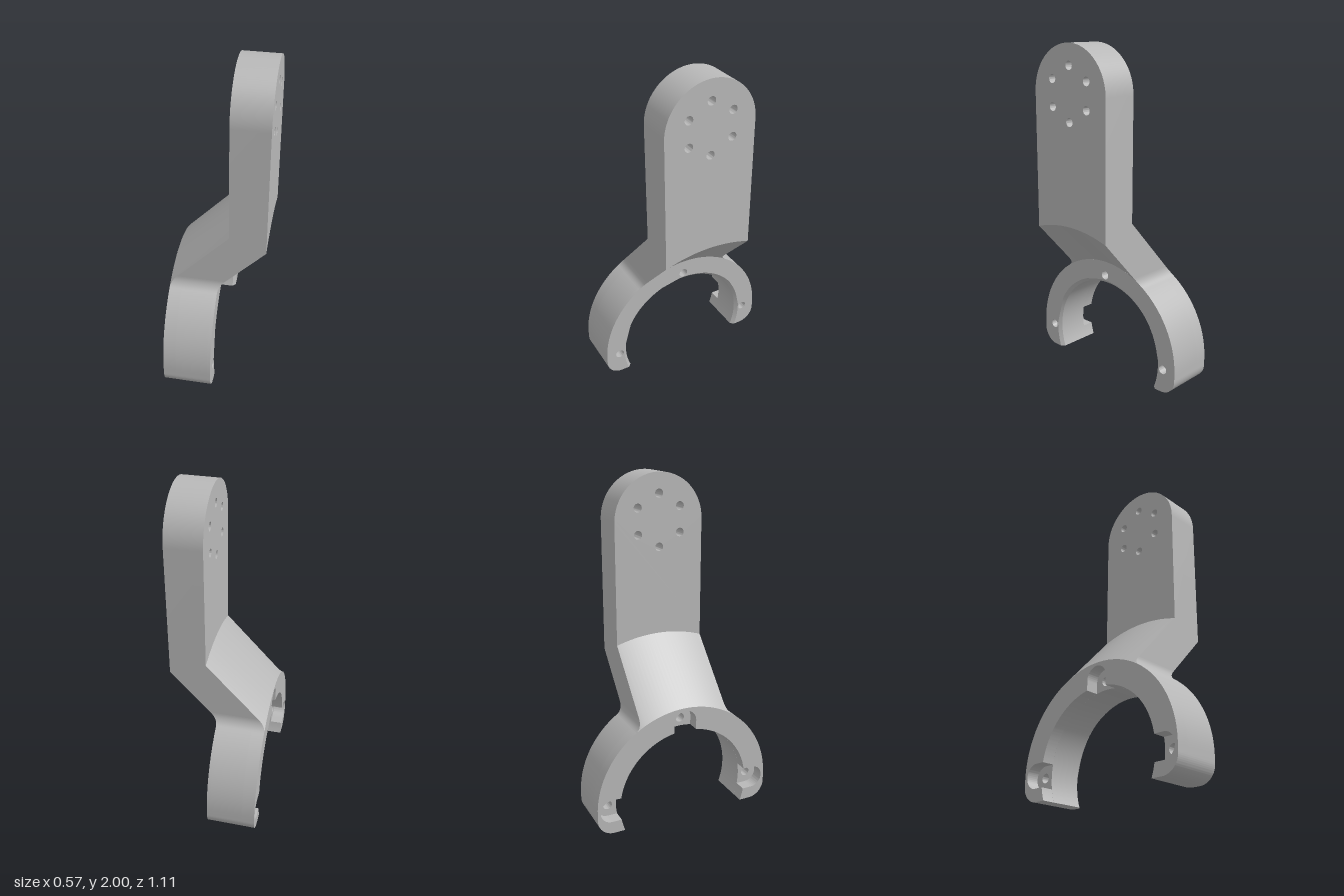
import * as THREE from 'three';
import { toCreasedNormals } from 'three/addons/utils/BufferGeometryUtils.js';

const CY = 0.145, OUTER = 0.555, BORE = 0.415, CHAMFER = 0.435, BOLT = 0.467; // clamp ring
const BACK = -0.285, FACE = 0.005, PLATE_BACK = 0.07, PLATE_FACE = 0.285;    // x planes
const HALF = 0.275, PLATE_BASE = 1.06;

// Extrude a (z, y) outline along x
function slab(shape, x0, x1, adjust) {
  const g = new THREE.ExtrudeGeometry(shape, { depth: x1 - x0, bevelEnabled: false, curveSegments: 32 });
  g.translate(0, 0, x0).rotateY(Math.PI / 2);
  if (adjust) adjust(g.attributes.position);
  return toCreasedNormals(g, 0.5);
}

// Skin counter-clockwise (x, y) sections placed at increasing z, with end caps
function loft(sections) {
  const v = [];
  const tri = (...pts) => pts.forEach((p) => v.push(...p));
  for (let s = 0; s < sections.length - 1; s++) {
    const A = sections[s], B = sections[s + 1];
    A.forEach((a, i) => {
      const j = (i + 1) % A.length;
      tri(a, A[j], B[j]);
      tri(a, B[j], B[i]);
    });
  }
  const first = sections[0], last = sections[sections.length - 1];
  for (let i = 1; i < first.length - 1; i++) {
    tri(first[0], first[i + 1], first[i]);
    tri(last[0], last[i], last[i + 1]);
  }
  const g = new THREE.BufferGeometry();
  g.setAttribute('position', new THREE.Float32BufferAttribute(v, 3));
  return toCreasedNormals(g, 0.4);
}

function addHole(shape, x, y, r) {
  const h = new THREE.Path();
  h.absarc(x, y, r, 0, Math.PI * 2, true);
  shape.holes.push(h);
}

// Open clamp ring outline, with either bolt holes or U-shaped bolt pockets
function ringShape(pockets) {
  const s = new THREE.Shape(), end = Math.asin(CY / BORE), r = 0.1, px = OUTER - r;
  const a = Math.asin(0.07 / BORE);
  s.moveTo(BORE * Math.cos(end), 0);
  s.lineTo(px, 0);
  s.absarc(px, r, r, -Math.PI / 2, 0, false);
  s.absarc(0, CY, OUTER, 0, Math.PI, false);
  s.absarc(-px, r, r, Math.PI, Math.PI * 1.5, false);
  let from = Math.PI + end;
  for (const phi of [Math.PI, Math.PI / 2, 0]) {
    const x = BOLT * Math.cos(phi), y = CY + BOLT * Math.sin(phi);
    if (pockets) {
      s.absarc(0, CY, BORE, from, phi + a, true);
      s.absarc(x, y, 0.07, phi + Math.PI / 2, phi - Math.PI / 2, true);
      from = phi - a;
    } else addHole(s, x, y, 0.027);
  }
  s.absarc(0, CY, BORE, from, -end, true);
  return s;
}

// Widen the bore on the +x face into a chamfer
function chamferBore(p) {
  for (let i = 0; i < p.count; i++) {
    const y = p.getY(i), z = p.getZ(i);
    if (p.getX(i) < FACE - 0.005 || Math.hypot(y - CY, z) > BORE + 0.004) continue;
    if (y < 0.001) p.setZ(i, Math.sign(z) * Math.sqrt(CHAMFER ** 2 - CY ** 2));
    else p.setY(i, CY + (y - CY) * CHAMFER / BORE).setZ(i, z * CHAMFER / BORE);
  }
}

const ringTop = (z) => CY + Math.sqrt(OUTER ** 2 - z * z);

export function createModel() {
  const model = new THREE.Group();
  const grey = new THREE.MeshStandardMaterial({ color: 0xb8b8b8 });
  grey.name = 'machined grey';
  const add = (name, geometry) => {
    const m = new THREE.Mesh(geometry, grey);
    m.name = name;
    model.add(m);
  };

  // Clamp ring in three layers
  add('ringPocketLayer', slab(ringShape(true), BACK, -0.21));
  add('ringBody', slab(ringShape(false), -0.21, -0.015));
  add('ringChamfer', slab(ringShape(false), -0.015, FACE, chamferBore));

  // Upright plate with six bolt holes
  const plate = new THREE.Shape();
  const py = 2 - HALF;
  plate.moveTo(-HALF, PLATE_BASE);
  plate.lineTo(HALF, PLATE_BASE);
  plate.absarc(0, py, HALF, 0, Math.PI, false);
  for (let i = 0; i < 6; i++) {
    const t = Math.PI / 2 + i * Math.PI / 3;
    addHole(plate, 0.153 * Math.cos(t), py + 0.003 + 0.153 * Math.sin(t), 0.025);
  }
  add('plate', slab(plate, PLATE_BACK, PLATE_FACE));

  // Sloping neck from the ring's curved top to the plate
  const neck = [];
  for (let i = 0; i <= 24; i++) {
    const z = HALF * (i / 12 - 1), drop = 0.045 * (z / HALF) ** 2, y = ringTop(z);
    neck.push([
      [PLATE_BACK, 1.055 - drop, z], [BACK, y, z], [FACE, y, z],
      [PLATE_FACE, 0.975 - drop, z], [PLATE_FACE, PLATE_BASE, z], [PLATE_BACK, PLATE_BASE, z],
    ]);
  }
  add('neck', loft(neck));

  // Fillets where the neck sides meet the ring
  const r = 0.08, zc = HALF + r, yc = CY + Math.sqrt((OUTER + r) ** 2 - zc * zc);
  const sweep = Math.atan2(yc - CY, zc);
  const fillet = (side) => {
    const list = [];
    for (let i = 0; i <= 10; i++) {
      const t = Math.PI + sweep * i / 10;
      const z = zc + r * Math.cos(t), yr = ringTop(z), yf = Math.max(yr, yc + r * Math.sin(t));
      const dx = (yf - yr) / 1.08;
      list.push([[BACK + dx, yf], [BACK, yr], [FACE, yr], [FACE + dx, yf]].map((p) => [...p, side * z]));
    }
    return side > 0 ? list : list.reverse();
  };
  add('leftFillet', loft(fillet(1)));
  add('rightFillet', loft(fillet(-1)));

  return model;
}
